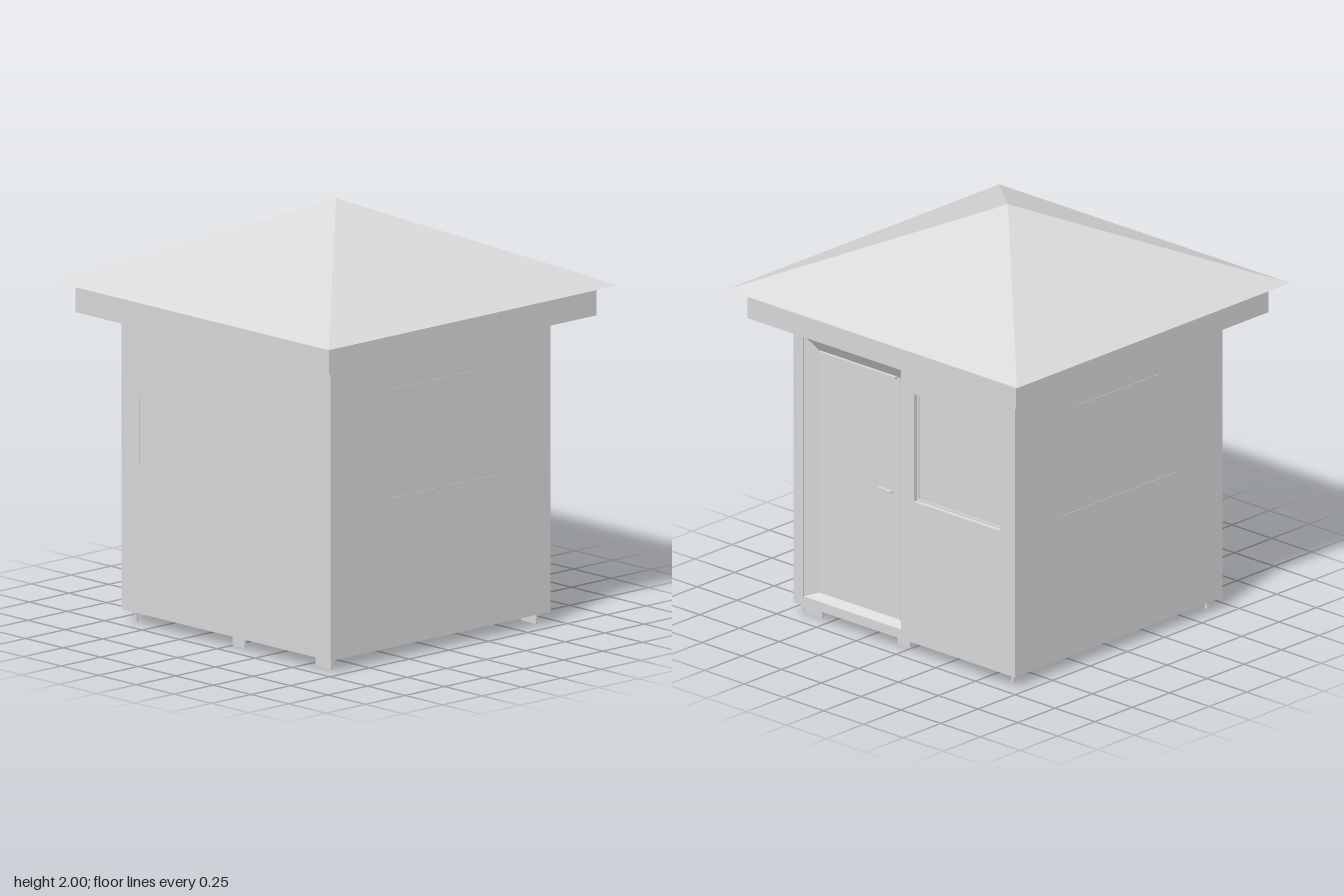
import * as THREE from 'three';

export function createModel() {
  const model = new THREE.Group();
  const paint = new THREE.MeshStandardMaterial({ color: 0xd9d9d9 });
  paint.name = 'light grey';

  function add(name, geometry, x = 0, y = 0, z = 0) {
    const mesh = new THREE.Mesh(geometry, paint);
    mesh.name = name;
    mesh.position.set(x, y, z);
    model.add(mesh);
  }

  // Box given by its lower and upper limits on each axis
  function block(name, x0, x1, y0, y1, z0, z1) {
    const box = new THREE.BoxGeometry(x1 - x0, y1 - y0, z1 - z0);
    add(name, box, (x0 + x1) / 2, (y0 + y1) / 2, (z0 + z1) / 2);
  }

  function outline(PathType, z0, z1, y0, y1) {
    const corners = [[-z1, y0], [-z0, y0], [-z0, y1], [-z1, y1]];
    return new PathType(corners.map(([u, v]) => new THREE.Vector2(u, v)));
  }

  // Upright panel facing +x, with rectangular openings [z0, z1, y0, y1]
  function sidePanel(name, x0, x1, size, openings) {
    const shape = outline(THREE.Shape, ...size);
    openings.forEach((o) => shape.holes.push(outline(THREE.Path, ...o)));
    const panel = new THREE.ExtrudeGeometry(shape, { depth: x1 - x0, bevelEnabled: false });
    panel.rotateY(Math.PI / 2);
    add(name, panel, x0);
  }

  // Four splayed faces from an outer rectangle at x1 back to an inner one at x0
  function splay(name, x0, x1, inner, outer) {
    const ring = (x, [z0, z1, y0, y1]) => [[x, y0, z1], [x, y0, z0], [x, y1, z0], [x, y1, z1]];
    const a = ring(x0, inner);
    const b = ring(x1, outer);
    const points = [];
    for (let i = 0; i < 4; i++) {
      const j = (i + 1) % 4;
      points.push(...b[i], ...b[j], ...a[j], ...b[i], ...a[j], ...a[i]);
    }
    const geometry = new THREE.BufferGeometry();
    geometry.setAttribute('position', new THREE.Float32BufferAttribute(points, 3));
    geometry.computeVertexNormals();
    add(name, geometry);
  }

  // Cabin walls, with a pierced outer skin on the door side
  const W = 0.695;
  const core = 0.645;
  const bottom = 0.055;
  const top = 1.455;
  const doorway = [0.02, 0.635, 0.1, 1.38];
  const door = [0.07, 0.58, 0.12, 1.31];
  const sideWindow = [-0.6, -0.06, 0.75, 1.28];
  block('cabinWalls', -W, core, bottom, top, -W, W);
  sidePanel('doorSideWall', core, W, [-W, W, bottom, top], [doorway, sideWindow]);

  // Splayed door frame around the recessed door, with head rail and handle
  splay('doorFrame', core, W - 0.005, door, doorway);
  block('doorHeadRail', core, core + 0.015, 1.3, 1.312, 0.09, 0.57);
  block('doorHandle', core, core + 0.015, 0.73, 0.742, 0.12, 0.2);

  // Window pane with a narrow frame
  block('windowPane', core, 0.665, 0.75, 1.28, -0.6, -0.06);
  sidePanel('windowFrame', 0.665, 0.672, sideWindow, [[-0.592, -0.068, 0.758, 1.272]]);

  // Sloping drip moulding above the door
  const drip = new THREE.Shape([
    new THREE.Vector2(0, 1.385), new THREE.Vector2(0.018, 1.44),
    new THREE.Vector2(0.018, top), new THREE.Vector2(0, top),
  ]);
  add('dripMoulding', new THREE.ExtrudeGeometry(drip, { depth: 0.63, bevelEnabled: false }), W, 0, 0.01);

  // Flush window rails on the other three walls
  for (const [y, length] of [[0.758, 0.76], [1.272, 0.56]]) {
    for (const s of [-1, 1]) {
      add('windowRail', new THREE.BoxGeometry(length, 0.005, 0.004), 0, y, s * W);
    }
  }
  block('leftlessSill', -W - 0.002, -W, 0.755, 0.76, -0.58, 0.55);
  block('windowHead', -W - 0.002, -W, 1.27, 1.275, 0.14, 0.5);
  block('windowStile', -W - 0.002, -W, 0.76, 1.08, -0.582, -0.577);

  // Base sheet facing the ground, and small feet
  const base = new THREE.PlaneGeometry(1.3, 1.3);
  base.rotateX(Math.PI / 2);
  add('baseSheet', base, 0, 0.001, 0);
  for (const s of [-1, 1]) {
    for (const [z, length] of [[0.605, 0.1], [0.04, 0.08], [-0.643, 0.01]]) {
      add('foot', new THREE.BoxGeometry(0.014, bottom, length), s * 0.648, bottom / 2, z);
    }
  }

  // Eaves box and pyramid roof
  block('eaves', -0.845, 0.845, top, 1.587, -0.845, 0.845);
  const cone = new THREE.ConeGeometry(0.915 * Math.SQRT2, 0.403, 4);
  cone.rotateY(Math.PI / 4);
  const roof = cone.toNonIndexed();
  roof.computeVertexNormals();
  add('roof', roof, 0, 1.7985, 0);

  return model;
}
